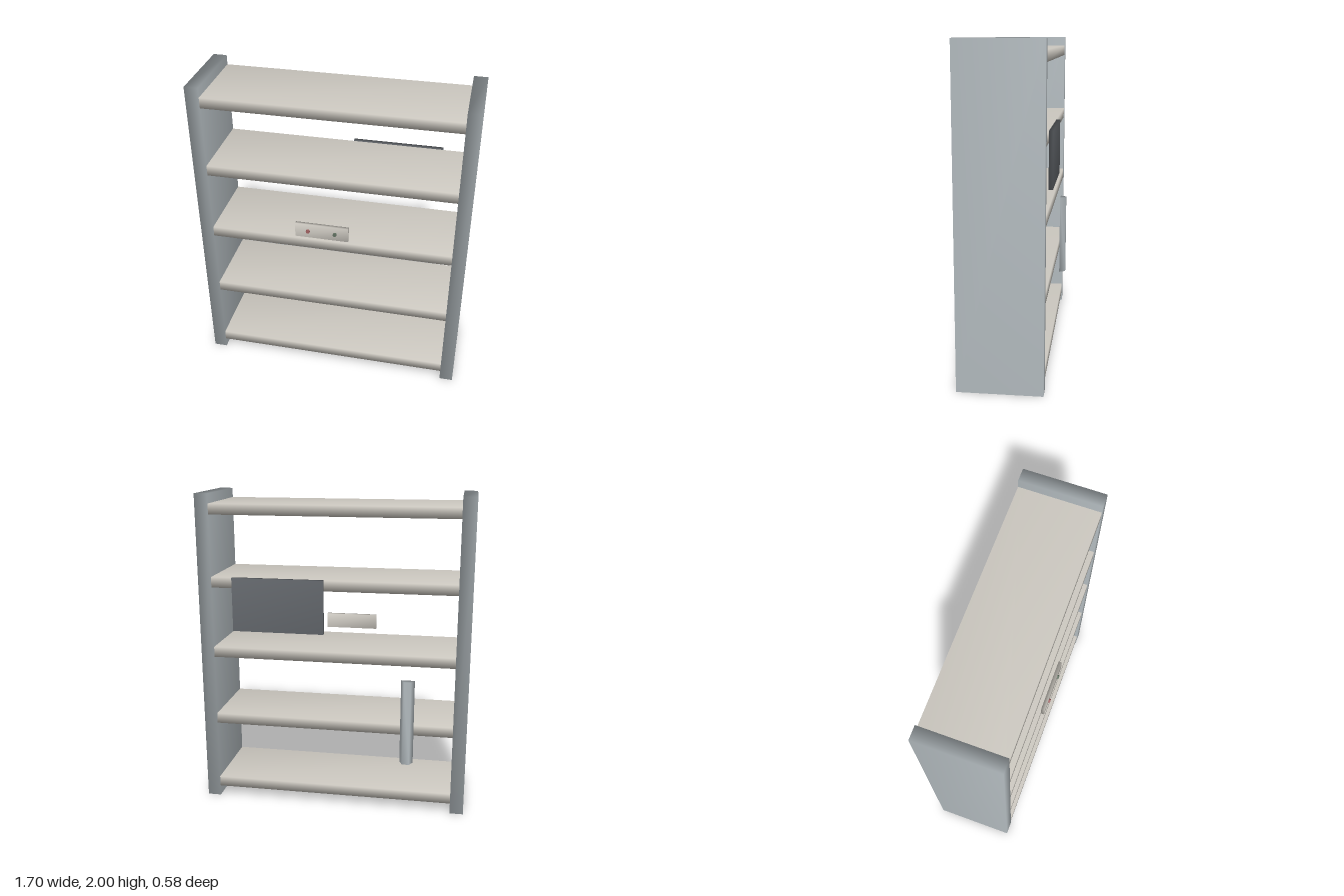
import * as THREE from 'three';
import { mergeVertices } from 'three/addons/utils/BufferGeometryUtils.js';

const SIDE = 0xb4bcc0, SHELF = 0xccc8c0, DARK = 0x63676c;

// Weld the corners so normals blend softly across the edges
function soften(geometry) {
  geometry.deleteAttribute('normal');
  geometry.deleteAttribute('uv');
  const welded = mergeVertices(geometry);
  welded.computeVertexNormals();
  return welded;
}

function addMesh(parent, name, geometry, color) {
  const mesh = new THREE.Mesh(geometry, new THREE.MeshStandardMaterial({ color }));
  mesh.name = name;
  parent.add(mesh);
  return mesh;
}

// Box given by its extents on each axis
function addBox(parent, name, [x0, x1], [y0, y1], [z0, z1], color) {
  const geometry = soften(new THREE.BoxGeometry(x1 - x0, y1 - y0, z1 - z0));
  const mesh = addMesh(parent, name, geometry, color);
  mesh.position.set((x0 + x1) / 2, (y0 + y1) / 2, (z0 + z1) / 2);
  return mesh;
}

export function createModel() {
  const model = new THREE.Group();
  model.name = 'shelfUnit';

  // Upright side panels
  addBox(model, 'leftSide', [0.765, 0.85], [0, 2], [-0.253, 0.253], SIDE);
  addBox(model, 'rightSide', [-0.85, -0.765], [0, 2], [-0.253, 0.253], SIDE);

  // Five evenly spaced shelves, let into the sides
  for (let i = 0; i < 5; i++) {
    const y = 0.101 + i * 0.4515;
    addBox(model, `shelf${i + 1}`, [-0.83, 0.83], [y - 0.033, y + 0.033], [-0.252, 0.252], SHELF);
  }

  // Dark plate on the back
  addBox(model, 'backPlate', [0.05, 0.625], [1.155, 1.492], [-0.279, -0.254], DARK);

  // Tapered upright bar on the back
  const profile = new THREE.Shape([
    new THREE.Vector2(-0.0425, 0), new THREE.Vector2(0.0425, 0),
    new THREE.Vector2(0.022, 0.041), new THREE.Vector2(-0.022, 0.041),
  ]);
  const barGeometry = new THREE.ExtrudeGeometry(profile, { depth: 0.546, bevelEnabled: false });
  barGeometry.rotateX(-Math.PI / 2);
  const bar = addMesh(model, 'backBar', soften(barGeometry), SIDE);
  bar.position.set(-0.4775, 0.335, -0.253);

  // Small front control strip with two buttons
  const strip = new THREE.Group();
  strip.name = 'controlStrip';
  model.add(strip);
  addBox(strip, 'stripPlate', [-0.212, 0.123], [1.07, 1.165], [0.257, 0.279], SHELF);
  for (const [name, x, color] of [['redButton', -0.13, 0xa06060], ['greenButton', 0.04, 0x607060]]) {
    const button = addMesh(strip, name, new THREE.CylinderGeometry(0.012, 0.012, 0.016, 16), color);
    button.rotation.x = Math.PI / 2;
    button.position.set(x, 1.117, 0.282);
  }

  return model;
}
